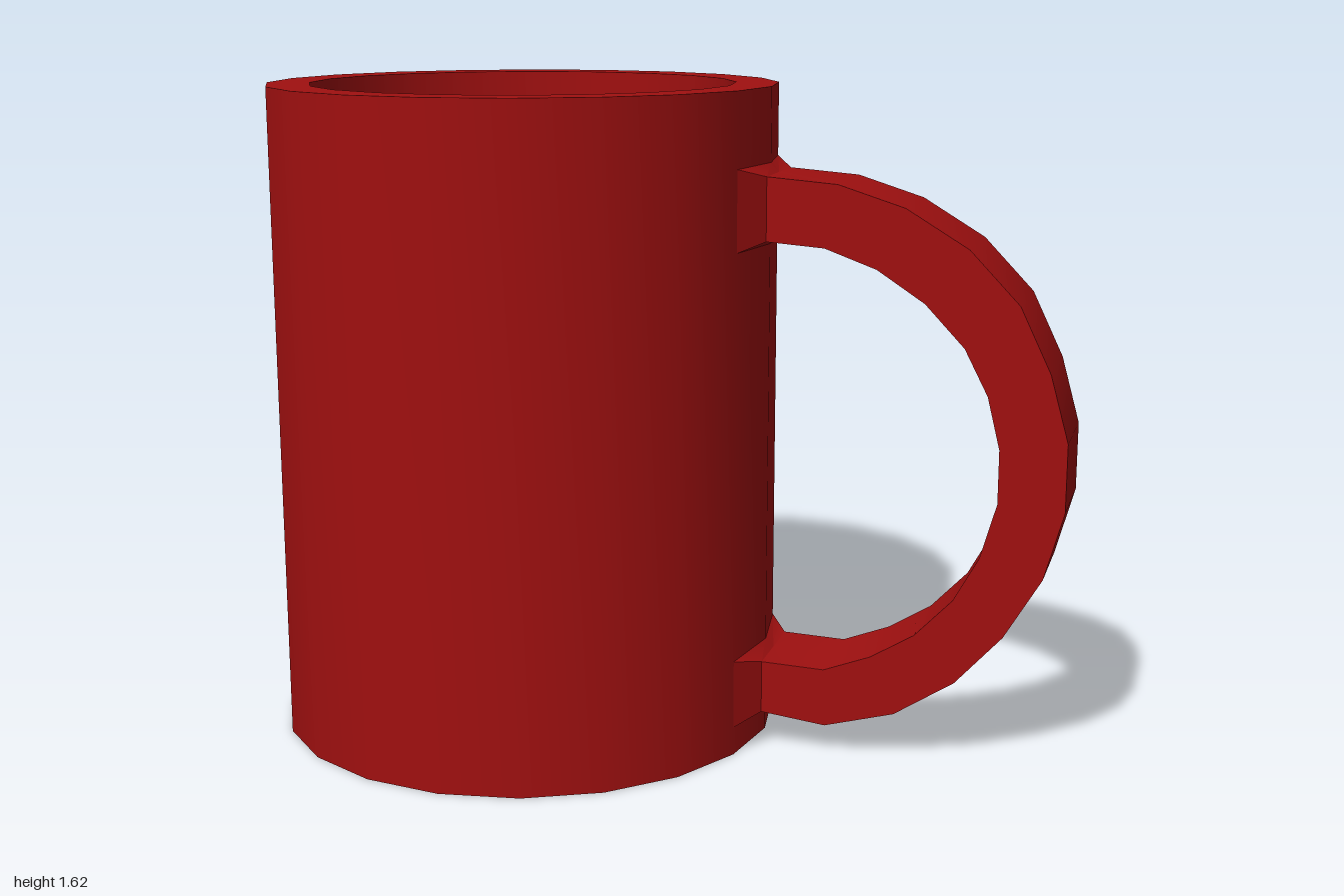
import * as THREE from 'three';
import { toCreasedNormals } from 'three/addons/utils/BufferGeometryUtils.js';

const CREASE = 0.6;

// Handle sections from top to bottom: outer x, outer y, inner x, inner y
const SECTIONS = [
  [0.28, 1.413, 0.28, 1.26], [0.45, 1.4, 0.42, 1.25], [0.61, 1.35, 0.545, 1.205],
  [0.76, 1.26, 0.66, 1.13], [0.88, 1.135, 0.755, 1.03], [0.955, 0.98, 0.812, 0.92],
  [1, 0.82, 0.843, 0.795], [1, 0.655, 0.843, 0.665], [0.955, 0.49, 0.805, 0.53],
  [0.867, 0.34, 0.745, 0.42], [0.755, 0.215, 0.655, 0.325], [0.61, 0.12, 0.55, 0.26],
  [0.44, 0.072, 0.435, 0.215], [0.28, 0.09, 0.28, 0.22],
];

// Six-point ring across the handle; midX lets the ends follow the cup wall
function ring([ox, oy, ix, iy], half, midX) {
  return [
    [ox, oy, -half], [midX ?? ox, oy, 0], [ox, oy, half],
    [ix, iy, half], [midX ?? ix, iy, 0], [ix, iy, -half],
  ];
}

function handleGeometry() {
  const rings = [
    ring([0.229, 1.435, 0.229, 1.24], 0.195, 0.26), // flared top root
    ...SECTIONS.map((s) => ring(s, 0.12)),
    ring([0.229, 0.07, 0.229, 0.24], 0.195, 0.26), // flared bottom root
  ];
  const index = [];
  for (let i = 0; i < rings.length - 1; i++) {
    for (let j = 0; j < 6; j++) {
      const k = (j + 1) % 6;
      const a = i * 6 + j, b = i * 6 + k, c = b + 6, d = a + 6;
      index.push(a, b, c, a, c, d);
    }
  }
  const geometry = new THREE.BufferGeometry();
  geometry.setAttribute('position', new THREE.Float32BufferAttribute(rings.flat(2), 3));
  geometry.setIndex(index);
  return toCreasedNormals(geometry, CREASE);
}

export function createModel() {
  const group = new THREE.Group();
  group.name = 'mug';
  const red = new THREE.MeshStandardMaterial({ color: 0xa01010 });
  red.name = 'red glaze';

  // Cup: base, outer wall, flat rim, inner wall and floor
  const profile = [[0, 0], [0.63, 0], [0.63, 1.615], [0.525, 1.615], [0.525, 0.1], [0, 0.1]]
    .map(([x, y]) => new THREE.Vector2(x, y));
  const cup = new THREE.Mesh(toCreasedNormals(new THREE.LatheGeometry(profile, 20), CREASE), red);
  cup.name = 'cup';
  cup.position.x = -0.37;
  group.add(cup);

  const handle = new THREE.Mesh(handleGeometry(), red);
  handle.name = 'handle';
  group.add(handle);

  return group;
}
